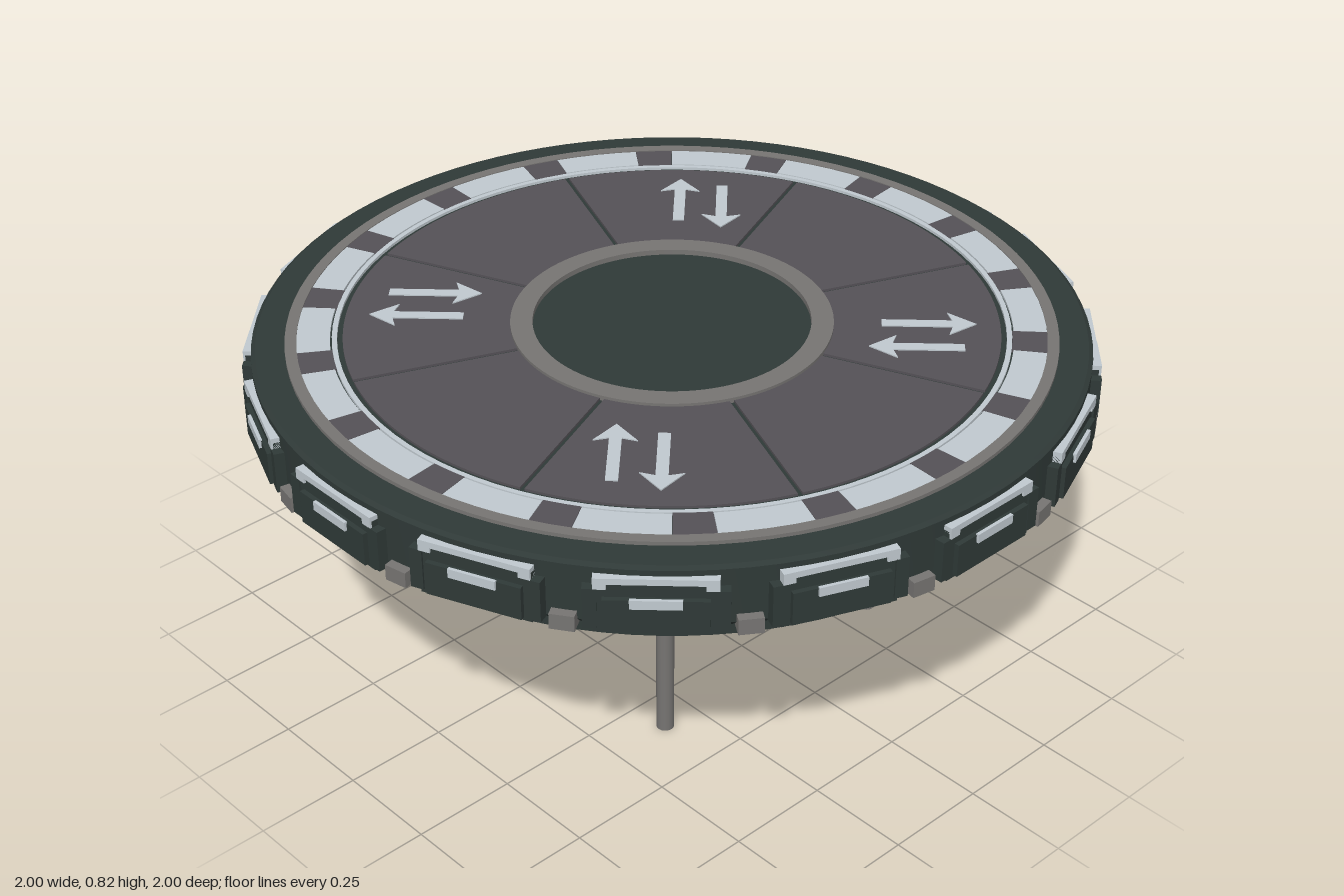
import * as THREE from 'three';
import { toCreasedNormals } from 'three/addons/utils/BufferGeometryUtils.js';

const mat = (name, color) => new THREE.MeshStandardMaterial({ name, color });

export function createModel() {
  const dark = mat('dark green metal', 0x2f3937);
  const panelGrey = mat('panel grey', 0x545156);
  const steel = mat('steel grey', 0x767472);
  const light = mat('pale light', 0xc0c9cf);

  const model = new THREE.Group();
  model.name = 'roundPlatform';

  const add = (name, geometry, material, parent = model, x = 0, y = 0, z = 0) => {
    const mesh = new THREE.Mesh(geometry, material);
    mesh.name = name;
    mesh.position.set(x, y, z);
    parent.add(mesh);
    return mesh;
  };
  const lathe = (points, segments = 96) => toCreasedNormals(
    new THREE.LatheGeometry(points.map(([r, y]) => new THREE.Vector2(r, y)), segments), 0.4);
  // Flat-sided ring between two radii and two heights
  const ring = (r0, r1, y0, y1) => lathe([[r0, y0], [r1, y0], [r1, y1], [r0, y1], [r0, y0]]);
  // Shape drawn in plan, raised to a height
  const plate = (shape, depth) => new THREE.ExtrudeGeometry(
    shape, { depth, bevelEnabled: false, curveSegments: 12 }).rotateX(-Math.PI / 2);
  // Ring segment whose straight sides are inset by half a gap
  const sector = (r0, r1, mid, span, gap, depth) => {
    const inner = span / 2 - Math.asin(gap / 2 / r0);
    const outer = span / 2 - Math.asin(gap / 2 / r1);
    const shape = new THREE.Shape();
    shape.absarc(0, 0, r1, mid - outer, mid + outer, false);
    shape.absarc(0, 0, r0, mid + inner, mid - inner, true);
    shape.closePath();
    return plate(shape, depth);
  };

  // Main disc with its stepped underside
  add('body', lathe([
    [0, 0.575], [0.89, 0.575], [0.89, 0.65], [0.955, 0.65], [0.975, 0.67],
    [0.975, 0.805], [0.965, 0.812], [0.9, 0.812], [0, 0.812],
  ]), dark);

  // Central socket under the disc
  add('hubTube', ring(0.215, 0.25, 0.395, 0.58), dark);

  // Rings on the deck
  add('outerTrim', ring(0.87, 0.897, 0.805, 0.821), steel);
  add('innerLightRing', ring(0.777, 0.789, 0.805, 0.819), light);
  add('hubTrim', ring(0.325, 0.377, 0.805, 0.825), steel);

  // Eight floor panels
  for (let i = 0; i < 8; i++) {
    add('floorPanel', sector(0.375, 0.764, i * Math.PI / 4, Math.PI / 4, 0.011, 0.012),
      panelGrey, model, 0, 0.806, 0);
  }

  // Ring of lights with grey spacers
  const step = Math.PI / 9;
  for (let i = 0; i < 18; i++) {
    add('deckLight', sector(0.793, 0.87, i * step, step * 0.69, 0.001, 0.014),
      light, model, 0, 0.805, 0);
    add('deckSpacer', sector(0.789, 0.87, (i + 0.5) * step, step * 0.31, 0.001, 0.014),
      panelGrey, model, 0, 0.805, 0);
  }

  // Pairs of opposed arrows, one pair per diagonal
  const arrow = (length) => {
    const shape = new THREE.Shape([
      [0, -0.014], [length - 0.055, -0.014], [length - 0.065, -0.049], [length, 0],
      [length - 0.065, 0.049], [length - 0.055, 0.014], [0, 0.014],
    ].map(([x, y]) => new THREE.Vector2(x, y)));
    return plate(shape, 0.004);
  };
  for (let i = 0; i < 4; i++) {
    const pair = new THREE.Group();
    pair.name = 'arrowPair';
    pair.rotation.y = Math.PI / 4 + i * Math.PI / 2;
    model.add(pair);
    add('outwardArrow', arrow(0.22), light, pair, 0.488, 0.817, 0);
    add('inwardArrow', arrow(0.22), light, pair, 0.675, 0.817, 0.106).rotation.y = Math.PI;
  }

  // Lamp modules and clips around the rim
  const box = (name, w, h, d, material, parent, x, y, front) =>
    add(name, new THREE.BoxGeometry(w, h, d), material, parent, x, y, front - d / 2);
  for (let i = 0; i < 16; i++) {
    const module = new THREE.Group();
    module.name = 'rimModule';
    module.rotation.y = i * Math.PI / 8;
    model.add(module);
    box('moduleFrame', 0.26, 0.125, 0.06, dark, module, 0, 0.7175, 0.982);
    box('modulePanel', 0.222, 0.08, 0.06, dark, module, 0, 0.703, 0.994);
    box('moduleLamp', 0.11, 0.022, 0.008, light, module, 0, 0.736, 1.0);
    box('topLamp', 0.26, 0.015, 0.05, light, module, 0, 0.784, 0.987);
    for (const side of [-1, 1]) {
      box('topLampEnd', 0.028, 0.016, 0.05, light, module, side * 0.116, 0.772, 0.987);
      box('moduleCheek', 0.03, 0.1, 0.05, dark, module, side * 0.137, 0.715, 0.987);
    }

    const clip = new THREE.Group();
    clip.name = 'rimClip';
    clip.rotation.y = (i + 0.5) * Math.PI / 8;
    model.add(clip);
    box('clipBlock', 0.055, 0.038, 0.06, steel, clip, 0, 0.671, 0.997);
  }

  // Four legs with collars
  for (const x of [-0.344, 0.344]) {
    for (const z of [-0.344, 0.344]) {
      add('leg', new THREE.CylinderGeometry(0.021, 0.021, 0.58, 16), steel, model, x, 0.29, z);
      add('legCollar', new THREE.CylinderGeometry(0.04, 0.04, 0.035, 20), dark, model, x, 0.56, z);
    }
  }
  return model;
}
